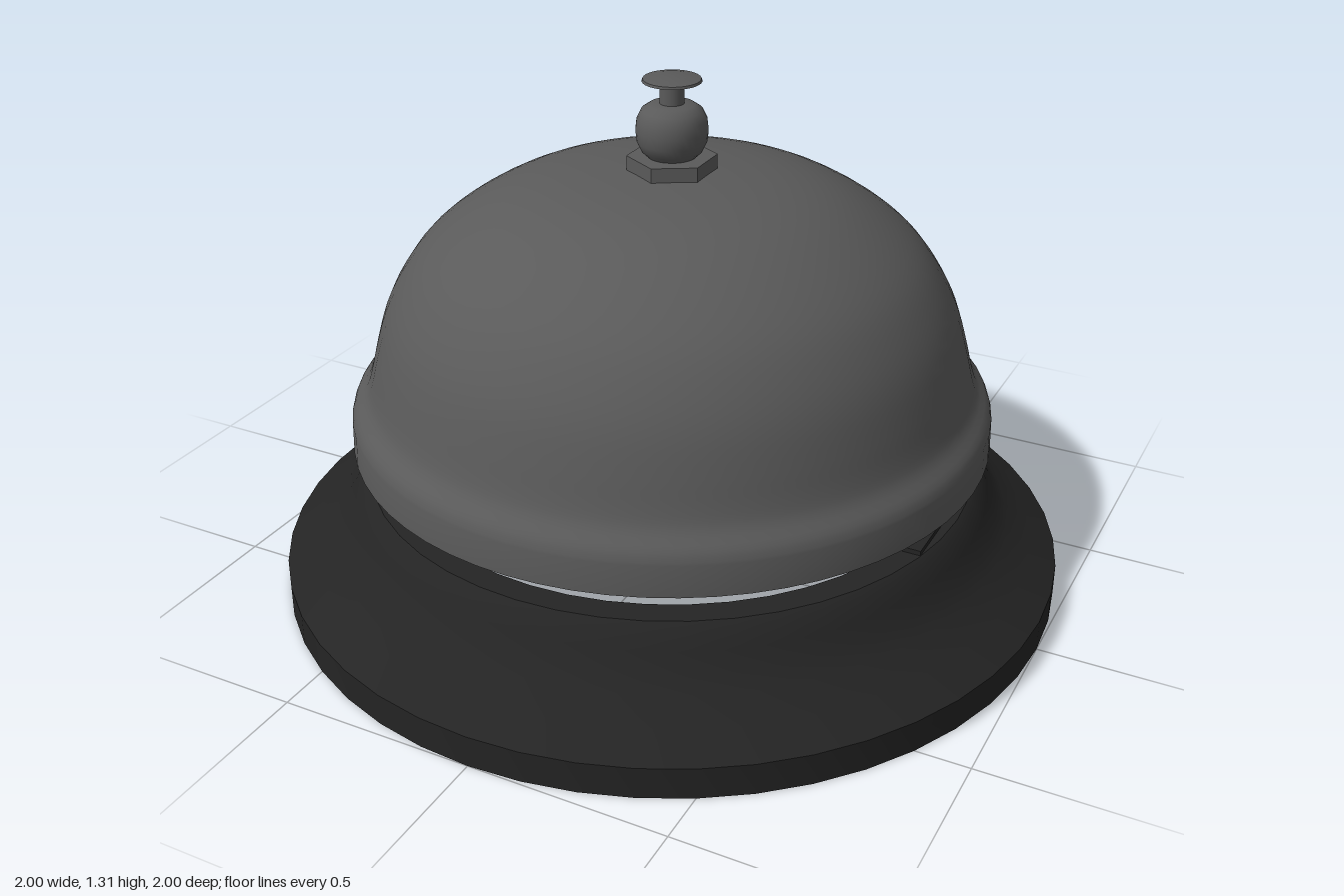
import * as THREE from 'three';
import { toCreasedNormals } from 'three/addons/utils/BufferGeometryUtils.js';

const steel = new THREE.MeshStandardMaterial({ name: 'grey metal', color: 0x5a5a5a });
const black = new THREE.MeshStandardMaterial({ name: 'black enamel', color: 0x242424 });

const vectors = (pairs) => pairs.map(([x, y]) => new THREE.Vector2(x, y));

export function createModel() {
  const model = new THREE.Group();
  model.name = 'deskBell';

  const add = (name, geometry, material) => {
    const mesh = new THREE.Mesh(geometry, material);
    mesh.name = name;
    model.add(mesh);
    return mesh;
  };
  const lathe = (points, segments, crease = 0.6) =>
    toCreasedNormals(new THREE.LatheGeometry(points, segments), crease);

  // Hollow flared base, with an inward lip around the open top
  add('base', lathe(vectors([
    [0.985, 0], [1, 0], [1, 0.08], [0.93, 0.13], [0.87, 0.175], [0.84, 0.21],
    [0.815, 0.25], [0.793, 0.292], [0.775, 0.305], [0.71, 0.305], [0.71, 0.29],
    [0.77, 0.29], [0.8, 0.24], [0.825, 0.2], [0.86, 0.16], [0.985, 0.068], [0.985, 0],
  ]), 48), black);

  // Thin domed bell: smooth outside curve, rim, and the same curve inside
  const dome = new THREE.SplineCurve(vectors([
    [0.808, 0.47], [0.798, 0.497], [0.768, 0.535], [0.752, 0.58], [0.737, 0.64], [0.71, 0.73],
    [0.67, 0.81], [0.61, 0.89], [0.52, 0.962], [0.41, 1.022], [0.29, 1.058], [0.15, 1.076], [0, 1.083],
  ])).getPoints(36);
  dome[dome.length - 1].x = 0;
  const outside = [new THREE.Vector2(0.81, 0.39), ...dome];
  const inside = outside.map((p) => new THREE.Vector2(p.x * 0.982, 0.39 + (p.y - 0.39) * 0.98)).reverse();
  add('bell', lathe([...outside, ...inside, outside[0].clone()], 64, 0.8), steel);

  // Hexagonal nut holding the bell
  const nut = add('nut', toCreasedNormals(new THREE.CylinderGeometry(0.11, 0.11, 0.04, 6), 0.4), steel);
  nut.position.y = 1.095;

  // Rounded knob
  add('knob', lathe(vectors([
    [0.055, 1.11], [0.074, 1.128], [0.085, 1.152], [0.088, 1.18], [0.085, 1.207],
    [0.074, 1.23], [0.055, 1.243], [0.03, 1.246], [0, 1.246],
  ]), 32, 0.9), steel);

  // Plunger stem and button
  const stem = add('plungerStem', new THREE.CylinderGeometry(0.03, 0.03, 0.06, 24), steel);
  stem.position.y = 1.27;
  add('plungerButton', lathe(vectors([
    [0, 1.293], [0.055, 1.295], [0.072, 1.3], [0.07, 1.306], [0.045, 1.311], [0, 1.313],
  ]), 32), steel);

  // Bent spring straps, flat on the base and rising under the bell
  const strap = new THREE.Shape(vectors([
    [0.75, 0.305], [0.75, 0.317], [0.506, 0.317], [0.24, 0.525], [0.24, 0.511], [0.51, 0.305],
  ]));
  const strapGeometry = new THREE.ExtrudeGeometry(strap, { depth: 0.38, bevelEnabled: false });
  strapGeometry.translate(0, 0, -0.19);
  add('leftStrap', strapGeometry, black);
  add('rightStrap', strapGeometry, black).rotation.y = Math.PI;

  return model;
}
